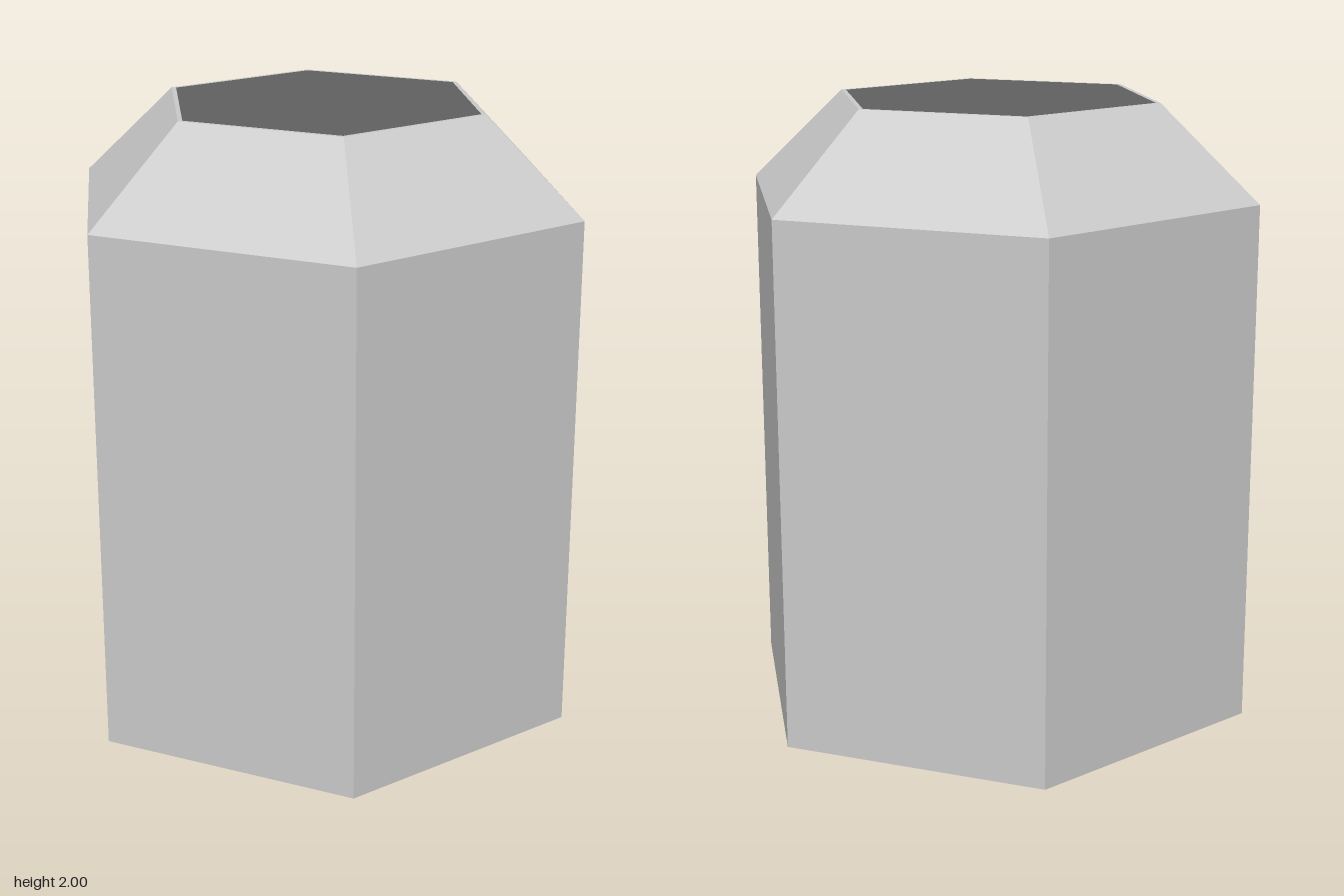
import * as THREE from 'three';

export function createModel() {
  const group = new THREE.Group();
  group.name = 'hexagonalShell';

  // Closed wall section [corner radius, height]: straight wall, sloped shoulder, open at both ends
  const section = [
    [0.854, 0], [0.866, 0],     // bottom rim
    [0.866, 1.7], [0.542, 2],   // outer wall and shoulder
    [0.526, 2], [0.854, 1.695], // top rim and inner shoulder
    [0.854, 0],                 // inner wall
  ].map(([r, y]) => new THREE.Vector2(r, y));

  // Six sides, with corners on the z axis
  const geometry = new THREE.LatheGeometry(section, 6);
  const material = new THREE.MeshStandardMaterial({ color: 0xcccccc, flatShading: true });
  const shell = new THREE.Mesh(geometry, material);
  shell.name = 'shell';
  group.add(shell);

  return group;
}
